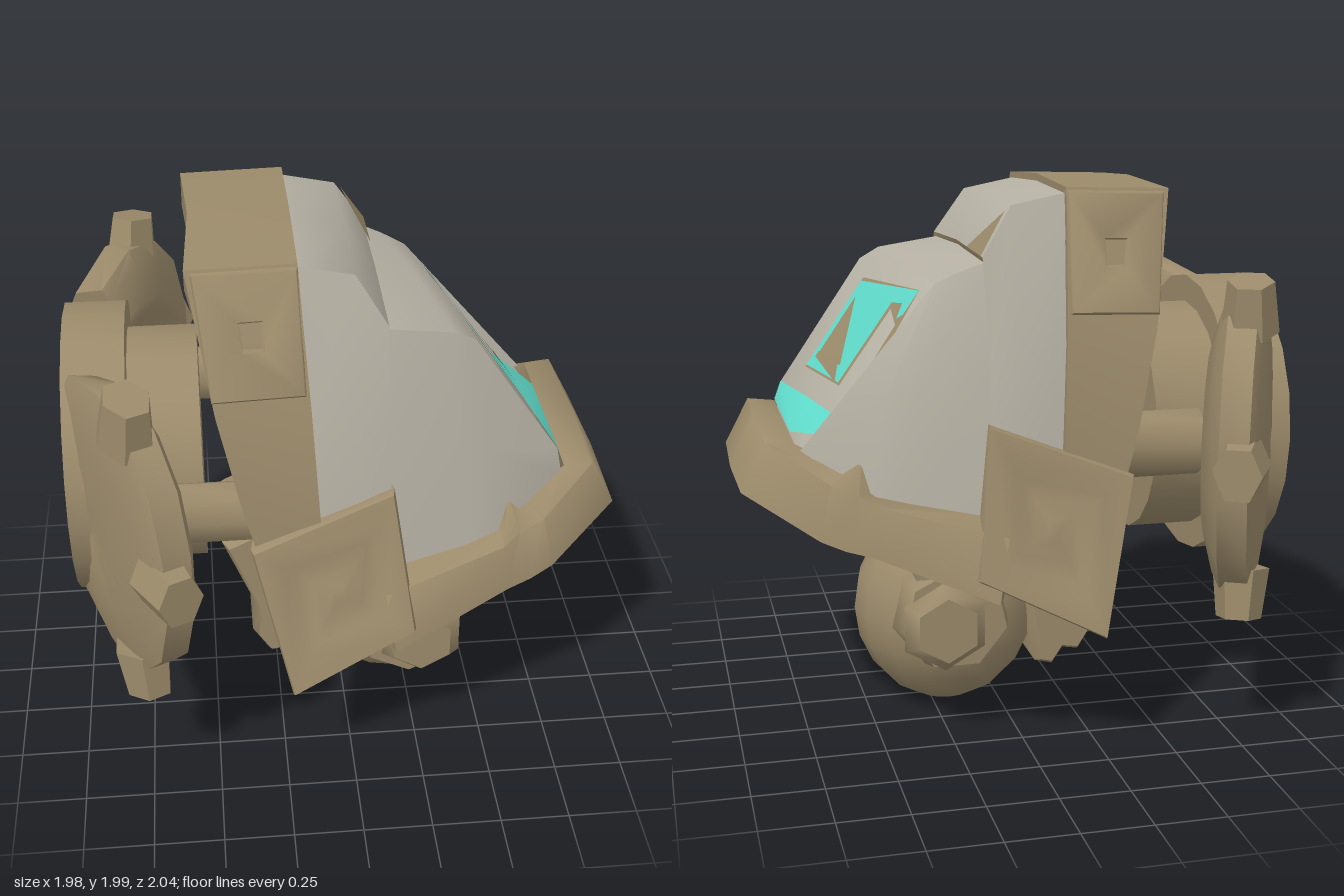
import * as THREE from 'three';
import { toCreasedNormals } from 'three/addons/utils/BufferGeometryUtils.js';

const paint = (name, color, side = THREE.FrontSide) => {
  const m = new THREE.MeshStandardMaterial({ color, side });
  m.name = name;
  return m;
};

// Skin between rings of points; solid lofts get end caps and outward faces
function loft(rings, solid = true, crease = 1.0) {
  const n = rings[0].length, pos = [];
  const tri = (a, b, c) => pos.push(...a, ...b, ...c);
  for (let i = 0; i < rings.length - 1; i++) {
    for (let j = 0; j < (solid ? n : n - 1); j++) {
      const k = (j + 1) % n, p = rings[i], q = rings[i + 1];
      tri(p[j], p[k], q[k]);
      tri(p[j], q[k], q[j]);
    }
  }
  if (solid) {
    const a = rings[0], b = rings[rings.length - 1];
    for (let j = 1; j < n - 1; j++) {
      tri(a[0], a[j + 1], a[j]);
      tri(b[0], b[j], b[j + 1]);
    }
    // Flip the corner order when the enclosed volume is negative
    let vol = 0;
    const v = [new THREE.Vector3(), new THREE.Vector3(), new THREE.Vector3()];
    for (let i = 0; i < pos.length; i += 9) {
      v.forEach((p, k) => p.fromArray(pos, i + k * 3));
      vol += v[0].dot(v[1].clone().cross(v[2]));
    }
    if (vol < 0) {
      for (let i = 0; i < pos.length; i += 9) {
        for (let k = 0; k < 3; k++) [pos[i + 3 + k], pos[i + 6 + k]] = [pos[i + 6 + k], pos[i + 3 + k]];
      }
    }
  }
  const g = new THREE.BufferGeometry();
  g.setAttribute('position', new THREE.Float32BufferAttribute(pos, 3));
  return toCreasedNormals(g, crease);
}

const flipZ = ring => ring.map(([x, y, z]) => [x, y, -z]);
const polygon = pts => new THREE.Shape(pts.map(p => new THREE.Vector2(...p)));
// The sloping front face is turned slightly towards the model's right
const yaw = z => -0.19 * (0.37 - z);

export function createModel() {
  const model = new THREE.Group();
  const tan = paint('tan metal', 0x9c8b6b);
  const tanThin = paint('tan sheet', 0x9c8b6b, THREE.DoubleSide);
  const grey = paint('grey shell', 0xb5b0a3, THREE.DoubleSide);
  const cyan = paint('cyan glass', 0x5fd9c9, THREE.DoubleSide);
  const add = (name, geo, mat, parent = model) => {
    const m = new THREE.Mesh(geo, mat);
    m.name = name;
    parent.add(m);
    return m;
  };
  const round = (r1, r2, h, n) => toCreasedNormals(new THREE.CylinderGeometry(r1, r2, h, n), 0.9);

  // Rear arch: outer z,y / inner z,y / back x / front x
  const archHalf = [
    [0, 1.99, 0, 1.87, -0.52, -0.17], [0.40, 1.97, 0.34, 1.86, -0.54, -0.17],
    [0.46, 1.80, 0.38, 1.76, -0.51, -0.16], [0.55, 1.5, 0.45, 1.48, -0.46, -0.14],
    [0.61, 1.15, 0.5, 1.12, -0.38, -0.12], [0.62, 0.85, 0.5, 0.85, -0.30, -0.1],
  ].map(([oz, oy, iz, iy, b, f]) => [[b, oy - 0.01, oz], [f, oy, oz], [f, iy, iz], [b, iy, iz]]);
  add('rearArch', loft([...archHalf.slice(1).reverse().map(flipZ), ...archHalf]), tan);

  // Lip bar around the nose
  const lipHalf = [
    [[0.78, 1.11, 0], [0.89, 1.12, 0], [0.98, 0.95, 0], [0.84, 0.89, 0]],
    [[0.78, 1.11, 0.37], [0.88, 1.12, 0.38], [0.97, 0.95, 0.38], [0.83, 0.87, 0.32]],
    [[0.61, 1.02, 0.42], [0.68, 1.0, 0.54], [0.72, 0.81, 0.56], [0.62, 0.76, 0.45]],
    [[0.56, 1.06, 0.46], [0.59, 0.97, 0.57], [0.64, 0.78, 0.59], [0.54, 0.73, 0.49]],
    [[0.52, 0.95, 0.48], [0.53, 0.93, 0.6], [0.55, 0.76, 0.62], [0.45, 0.71, 0.52]],
    [[0.08, 0.86, 0.58], [0.1, 0.82, 0.7], [0.14, 0.6, 0.74], [0.1, 0.59, 0.63]],
  ];
  add('lipBar', loft([...lipHalf.slice(1).reverse().map(flipZ), ...lipHalf], true, 1.2), tan);

  // Square plates with a shallow hollow: lower corners and arch shoulders
  function squarePlate(name, s, corners, zAt, depth, steps) {
    const cx = corners.reduce((t, p) => t + p[0] / 4, 0);
    const cy = corners.reduce((t, p) => t + p[1] / 4, 0);
    const rings = steps.map(([k, off]) => corners.map(([x, y]) => {
      const px = cx + (x - cx) * k, py = cy + (y - cy) * k;
      return [px, py, s * (zAt(py) + off * depth)];
    }));
    add(name, loft(rings), tan);
  }
  for (const s of [1, -1]) {
    squarePlate('cornerPlate', s, [[-0.36, 1.0], [0.14, 1.19], [0.21, 0.68], [-0.23, 0.46]],
      y => 0.79 - (y - 0.46) * 0.26, 0.14,
      [[0.95, -1], [1, -0.15], [0.97, 0], [0.62, 0], [0.5, -0.1], [0.28, -0.12], [0.08, -0.02]]);
    squarePlate('shoulderPlate', s, [[-0.52, 1.95], [-0.17, 1.96], [-0.155, 1.55], [-0.47, 1.54]],
      y => 0.565 - (y - 1.5) * 0.33, 0.05,
      [[1, -1], [1, -0.2], [0.96, 0], [0.24, 0], [0.18, -0.3], [0.05, -0.3]]);
  }

  // Grey shell: half sections given as bottom, side, shoulder
  const section = (b, m, t, skew = () => 0) => [b, m, [t[0] + skew(t[2]), t[1], t[2]],
    [t[0] + skew(0), t[1] + 0.015, 0], [t[0] + skew(-t[2]), t[1], -t[2]], ...flipZ([m, b])];
  const stepRing = section([0.13, 0.84, 0.62], [0.13, 1.35, 0.545], [0.13, 1.74, 0.43]);
  add('rearShell', loft([
    section([-0.14, 0.9, 0.61], [-0.15, 1.45, 0.54], [-0.18, 1.95, 0.38]),
    section([0.02, 0.87, 0.615], [0.02, 1.42, 0.55], [0.02, 1.91, 0.38]),
    stepRing,
  ], false), grey);
  add('shellStep', loft([
    stepRing,
    section([0.12, 0.84, 0.59], [0.12, 1.35, 0.515], [0.12, 1.715, 0.42]),
  ], false), tanThin);
  add('stepPatch', loft([
    [[0.137, 1.752, -0.2], [0.137, 1.745, -0.43]],
    [[0.042, 1.893, -0.385], [0.042, 1.893, -0.385]],
  ], false), tanThin);
  add('frontShell', loft([
    section([0.11, 0.82, 0.6], [0.11, 1.35, 0.52], [0.11, 1.725, 0.42]),
    section([0.42, 0.88, 0.55], [0.38, 1.28, 0.49], [0.35, 1.69, 0.4], yaw),
    section([0.54, 0.9, 0.52], [0.49, 1.25, 0.47], [0.43, 1.65, 0.38], yaw),
    section([0.78, 0.98, 0.39], [0.77, 1.08, 0.385], [0.75, 1.185, 0.37], yaw),
    section([0.8, 0.93, 0.37], [0.8, 0.95, 0.37], [0.79, 0.98, 0.36]),
  ], false, 0.8), grey);

  // Thin plates on the sloping face, drawn as z,y outlines
  function facePlate(name, pts, mat, off) {
    const g = new THREE.ShapeGeometry(polygon(pts));
    const p = g.attributes.position;
    for (let i = 0; i < p.count; i++) {
      const z = p.getX(i), y = p.getY(i), lift = 0.012 * (1 - Math.abs(z) / 0.38);
      p.setXYZ(i, 0.43 + (1.65 - y) * 0.688 + off + lift + yaw(z), y, z);
    }
    g.computeVertexNormals();
    add(name, g, mat);
  }
  facePlate('windowTrim', [[0.2, 1.6], [-0.32, 1.62], [-0.4, 1.2], [-0.33, 1.2], [-0.31, 1.5], [-0.2, 1.54], [-0.19, 1.27], [0.2, 1.27]], tanThin, 0.008);
  facePlate('window', [[0.185, 1.59], [-0.33, 1.62], [-0.33, 1.54], [-0.3, 1.52], [-0.27, 1.57], [-0.19, 1.56], [-0.18, 1.28], [0.185, 1.28]], cyan, 0.014);
  facePlate('windowWedge', [[0.13, 1.54], [-0.12, 1.33], [0.13, 1.33]], tanThin, 0.019);
  facePlate('windowSill', [[0.13, 1.34], [-0.08, 1.35], [-0.17, 1.28], [0.13, 1.32]], tanThin, 0.023);

  // Glass ledge between the face and the lip
  add('lowerGlass', loft([
    [[0.752, 1.185, 0.37], [0.69, 1.195, 0], [0.63, 1.19, -0.32]],
    [[0.778, 1.115, 0.37], [0.778, 1.115, -0.2], [0.67, 1.14, -0.39]],
  ], false), cyan);

  // Hollow underside inside the lip
  const deckHalf = [[0.84, 0.92, 0.32], [0.55, 0.76, 0.48], [0.1, 0.64, 0.62], [-0.25, 0.75, 0.56]];
  const deckRim = [...deckHalf, ...flipZ(deckHalf).reverse()];
  const deckRing = (k, y) => deckRim.map(([x, , z]) => [0.2 + (x - 0.2) * k, y, z * k]);
  add('deck', loft([deckRim, deckRing(0.84, 0.92), deckRing(0.65, 0.86), deckRing(0.5, 0.73), deckRing(0.02, 0.71)]
    .map(r => [...r, r[0]]), false, 1.3), tanThin);

  // Ball with side knobs
  const ball = add('ball', new THREE.SphereGeometry(1, 16, 10), tan);
  ball.scale.set(0.345, 0.375, 0.335);
  ball.position.set(0.19, 0.375, -0.01);
  for (const s of [1, -1]) {
    const knob = new THREE.Group();
    knob.name = 'sideKnob';
    knob.position.set(0.23, 0.45, s * 0.39);
    knob.rotation.x = s * Math.PI / 2;
    model.add(knob);
    add('knobBase', round(0.19, 0.22, 0.11, 7), tan, knob);
    add('knobCap', round(0.12, 0.17, 0.06, 6), tan, knob).position.set(0.04, 0.08, s * 0.02);
    add('knobLink', new THREE.BoxGeometry(0.16, 0.1, 0.14), tan, knob).position.set(0.06, -0.02, -s * 0.22);
  }

  // Mount behind the ball
  const mountShape = polygon([[-0.43, 0.72], [-0.2, 0.83], [-0.08, 0.6], [-0.14, 0.19], [-0.18, 0.18], [-0.22, 0.24], [-0.28, 0.23], [-0.33, 0.31], [-0.31, 0.42]]);
  const mount = new THREE.ExtrudeGeometry(mountShape, { depth: 0.4, bevelThickness: 0.04, bevelSize: 0.02, bevelSegments: 1 });
  add('mount', toCreasedNormals(mount, 0.9), tan).position.z = -0.2;

  // Stepped rear drum, open at the back
  const drumProfile = [[0, 0.8], [0.5, 0.8], [0.515, 0.98], [0.53, 0.98], [0.53, 0.76], [0.43, 0.76], [0.43, 0.51], [0, 0.51]];
  const drum = add('rearDrum', toCreasedNormals(
    new THREE.LatheGeometry(drumProfile.map(p => new THREE.Vector2(...p)), 20), 0.7), tanThin);
  drum.rotation.z = Math.PI / 2;
  drum.position.y = 1.07;

  // Angled side discs with lugs, each on an axle
  const discOutline = [[-0.36, -0.47], [-0.12, -0.54], [0.1, -0.48], [0.25, -0.33], [0.32, -0.12],
    [0.32, 0.12], [0.25, 0.33], [0.1, 0.48], [-0.12, 0.54], [-0.36, 0.47]];
  const discSteps = [[0.1, -0.1], [0.5, -0.1], [0.56, -0.12], [0.66, -0.12], [0.9, -0.08], [1, -0.05],
    [1, 0.05], [0.9, 0.07], [0.6, 0.09], [0.1, 0.1]];
  // The straight inner edge is cut on a slant while the rest narrows into a lens
  const discGeo = loft(discSteps.map(([k, z]) => discOutline.map(([u, v]) =>
    [-0.36 + (u + 0.36) * (0.3 + 0.7 * k) - (u < -0.3 ? 0.55 * z : 0), v * k, u < -0.3 ? z * 0.8 : z])));
  for (const s of [1, -1]) {
    const side = new THREE.Group();
    side.name = 'sideDisc';
    side.position.set(-0.745, 1.07, s * 0.635);
    if (s < 0) side.rotation.x = Math.PI;
    model.add(side);
    const disc = new THREE.Group();
    disc.name = 'disc';
    disc.rotation.y = -1.12;
    side.add(disc);
    add('discBody', discGeo, tan, disc);
    for (const [u, v, turn] of [[0.04, 0.51, -0.2], [0.04, -0.51, Math.PI + 0.2], [0.29, 0, -Math.PI / 2]]) {
      const lug = add('discLug', round(0.1, 0.125, 0.18, 6), tan, disc);
      lug.position.set(u, v, 0.02);
      lug.rotation.z = turn;
      lug.scale.z = 0.8;
    }
    const axle = add('axle', round(0.12, 0.12, 0.36, 8), tan, side);
    axle.rotation.z = Math.PI / 2;
    axle.scale.z = 0.7;
    axle.position.set(0.28, 0, -0.15);
  }
  return model;
}
